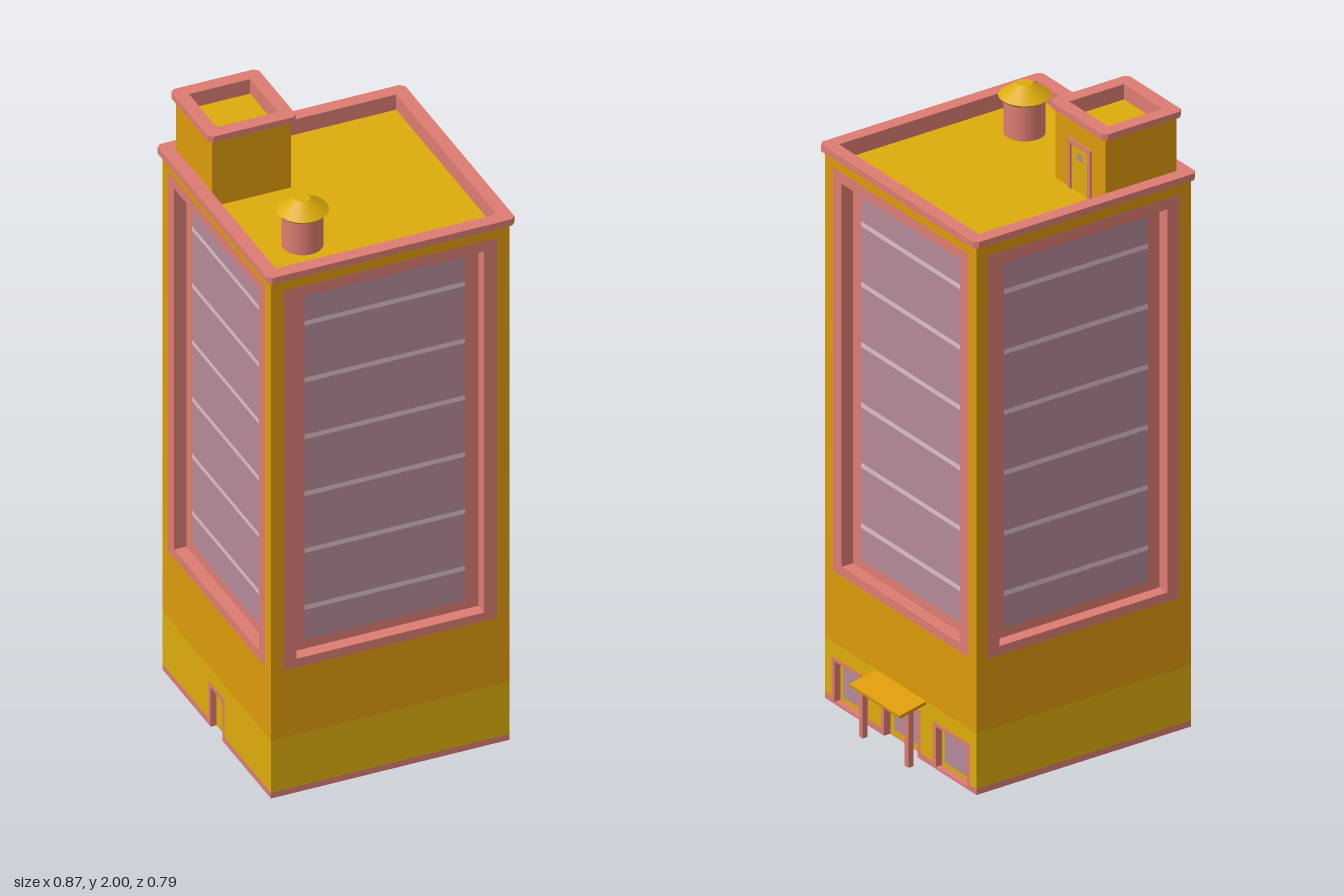
import * as THREE from 'three';

const mat = (color) => new THREE.MeshStandardMaterial({ color, side: THREE.DoubleSide });
const PINK = mat(0xdc7c72), ORANGE = mat(0xdc9a0c), YELLOW = mat(0xdcac0c);
const GLASS = mat(0xb48a98), SLAT = mat(0xdcbec6);

const CX = -0.04, HALF = 0.38, WALL_TOP = 1.78, ROOF = 1.75;

function add(parent, name, geometry, material, x = 0, y = 0, z = 0) {
  const m = new THREE.Mesh(geometry, material);
  m.name = name;
  m.position.set(x, y, z);
  parent.add(m);
  return m;
}

const poly = (pts) => new THREE.Shape(pts.map(([x, y]) => new THREE.Vector2(x, y)));

// Rectangle given by centre, half width, bottom and top, optionally chamfered
function rect(u, h, b, t, c = 0) {
  const l = u - h, r = u + h;
  return poly(c
    ? [[l + c, b], [r - c, b], [r, b + c], [r, t - c], [r - c, t], [l + c, t], [l, t - c], [l, b + c]]
    : [[l, b], [r, b], [r, t], [l, t]]);
}

function withHole(outer, ...holes) {
  holes.forEach((h) => outer.holes.push(new THREE.Path(h.getPoints())));
  return outer;
}

const flat = (shape) => new THREE.ShapeGeometry(shape);
const solid = (shape, depth) => new THREE.ExtrudeGeometry(shape, { depth, bevelEnabled: false });

// Door surround, open at the ground
const portal = (u, ho, to, hi, ti) => poly([
  [u - ho, 0], [u - hi, 0], [u - hi, ti], [u + hi, ti], [u + hi, 0], [u + ho, 0], [u + ho, to], [u - ho, to],
]);

// Square ring lying flat, rising from y
function flatRing(parent, name, material, outer, inner, y, height, chamfer = 0) {
  const shape = withHole(rect(0, outer, -outer, outer, chamfer), rect(0, inner, -inner, inner));
  add(parent, name, solid(shape, height), material, 0, y, 0).rotation.x = -Math.PI / 2;
}

// Wall between openings; each opening is {u, half, top}
function lowerWall(parent, openings) {
  const outline = (bottom, top) => {
    const pts = [[-HALF, bottom]];
    for (const o of openings) {
      const t = Math.min(o.top, top);
      pts.push([o.u - o.half, bottom], [o.u - o.half, t], [o.u + o.half, t], [o.u + o.half, bottom]);
    }
    pts.push([HALF, bottom], [HALF, top], [-HALF, top]);
    return poly(pts);
  };
  add(parent, 'groundFloorWall', flat(outline(0.02, 0.2)), YELLOW);
  if (!openings.length) return add(parent, 'plinth', flat(outline(0, 0.02)), PINK);
  // Plinth pieces on both sides of each opening
  let start = -HALF;
  for (const o of [...openings, { u: HALF, half: 0 }]) {
    const end = o.u - o.half;
    add(parent, 'plinth', flat(rect((start + end) / 2, (end - start) / 2, 0, 0.02)), PINK);
    start = o.u + o.half;
  }
}

// Tall recessed window with horizontal bars
function tallWindow(parent) {
  const depth = 0.04;
  add(parent, 'windowFrame', solid(withHole(rect(0, 0.34, 0.43, 1.74), rect(0, 0.298, 0.46, 1.705)), depth), PINK, 0, 0, -depth);
  add(parent, 'windowInnerFrame', flat(withHole(rect(0, 0.298, 0.46, 1.705), rect(0, 0.255, 0.49, 1.675))), PINK, 0, 0, -depth);
  add(parent, 'windowGlass', flat(rect(0, 0.255, 0.49, 1.675)), GLASS, 0, 0, -depth);
  for (let i = 0; i < 6; i++) {
    const y = 0.602 + i * 0.196;
    add(parent, 'windowBar', flat(rect(0, 0.255, y - 0.008, y + 0.008)), SLAT, 0, 0, -depth + 0.0015);
  }
}

function groundWindow(parent, u) {
  const d = 0.02;
  add(parent, 'groundWindowFrame', solid(withHole(rect(u, 0.093, 0, 0.15), rect(u, 0.077, 0.008, 0.138)), d), PINK, 0, 0, -d);
  add(parent, 'groundWindowSash', flat(withHole(rect(u, 0.077, 0.008, 0.138), rect(u, 0.064, 0.022, 0.125))), YELLOW, 0, 0, -d);
  add(parent, 'groundWindowGlass', flat(rect(u, 0.064, 0.022, 0.125)), GLASS, 0, 0, -d);
}

// Door with its surround; panes are {u, half, bottom, top}
function door(parent, half, top, depth, panes, front = 0) {
  const inner = half - 0.015, head = top - 0.014;
  add(parent, 'doorFrame', solid(portal(0, half, top, inner, head), depth), PINK, 0, 0, front - depth);
  const holes = panes.map((p) => rect(p.u, p.half, p.bottom, p.top));
  add(parent, 'doorLeaf', flat(withHole(rect(0, inner, 0, head), ...holes)), YELLOW, 0, 0, front - depth + 0.001);
  holes.forEach((h) => add(parent, 'doorGlass', flat(h), GLASS, 0, 0, front - depth + 0.001));
}

function facade(building, name, angle, openings) {
  const pivot = new THREE.Group();
  pivot.name = name;
  pivot.rotation.y = angle;
  building.add(pivot);
  const side = new THREE.Group();
  side.position.z = HALF;
  pivot.add(side);
  add(side, 'upperWall', flat(withHole(rect(0, HALF, 0.2, WALL_TOP), rect(0, 0.34, 0.43, 1.74))), ORANGE);
  lowerWall(side, openings);
  tallWindow(side);
  return side;
}

export function createModel() {
  const model = new THREE.Group();
  model.name = 'officeBuilding';
  const building = new THREE.Group();
  building.name = 'tower';
  building.position.x = CX;
  model.add(building);

  // Four facades
  facade(building, 'frontFacade', 0, []);
  facade(building, 'backFacade', Math.PI, []);
  const entry = facade(building, 'entranceFacade', Math.PI / 2, [
    { u: -0.255, half: 0.093, top: 0.15 }, { u: 0, half: 0.1, top: 0.155 }, { u: 0.255, half: 0.093, top: 0.15 },
  ]);
  const rear = facade(building, 'serviceFacade', -Math.PI / 2, [{ u: 0, half: 0.057, top: 0.15 }]);
  [-0.255, 0.255].forEach((u) => groundWindow(entry, u));
  door(entry, 0.1, 0.155, 0.025, [-0.037, 0.037].map((u) => ({ u, half: 0.029, bottom: 0.02, top: 0.127 })));
  door(rear, 0.057, 0.15, 0.02, [{ u: 0, half: 0.016, bottom: 0.095, top: 0.115 }]);

  // Underside, notched at both doors
  const n = 0.02, floor = poly([
    [-HALF, -HALF], [HALF, -HALF], [HALF, -0.085], [HALF - n, -0.085], [HALF - n, 0.085], [HALF, 0.085],
    [HALF, HALF], [-HALF, HALF], [-HALF, 0.042], [n - HALF, 0.042], [n - HALF, -0.042], [-HALF, -0.042],
  ]);
  add(building, 'underside', flat(floor), PINK, 0, 0.001, 0).rotation.x = Math.PI / 2;

  // Roof deck and parapet
  add(building, 'roofDeck', flat(rect(0, 0.36, -0.36, 0.36)), YELLOW, 0, ROOF, 0).rotation.x = -Math.PI / 2;
  flatRing(building, 'parapetLining', PINK, 0.378, 0.351, ROOF - 0.005, 0.035);
  flatRing(building, 'parapetCap', PINK, 0.394, 0.351, WALL_TOP, 0.022, 0.013);

  // Entrance canopy on two posts
  add(model, 'canopy', new THREE.BoxGeometry(0.1, 0.01, 0.252), ORANGE, 0.384, 0.184, 0).rotation.z = -0.2;
  for (const z of [-0.115, 0.115]) {
    add(model, 'canopyPost', new THREE.BoxGeometry(0.018, 0.178, 0.018), PINK, 0.392, 0.089, z);
  }

  // Rooftop stairwell
  const shed = new THREE.Group();
  shed.name = 'stairwell';
  shed.position.set(-0.264, ROOF, -0.225);
  model.add(shed);
  flatRing(shed, 'stairwellWalls', ORANGE, 0.126, 0.112, 0, 0.232);
  flatRing(shed, 'stairwellLining', PINK, 0.113, 0.097, 0.19, 0.042);
  add(shed, 'stairwellRoof', flat(rect(0, 0.1, -0.1, 0.1)), YELLOW, 0, 0.2, 0).rotation.x = -Math.PI / 2;
  flatRing(shed, 'stairwellCap', PINK, 0.14, 0.097, 0.23, 0.02, 0.013);
  const shedDoor = new THREE.Group();
  shedDoor.name = 'stairwellDoor';
  shedDoor.rotation.y = Math.PI / 2;
  shedDoor.position.x = 0.126;
  shed.add(shedDoor);
  door(shedDoor, 0.057, 0.162, 0.006, [{ u: 0, half: 0.015, bottom: 0.103, top: 0.125 }], 0.0065);

  // Water tank with a conical lid
  const tank = new THREE.Group();
  tank.name = 'waterTank';
  tank.position.set(-0.233, ROOF, 0.19);
  model.add(tank);
  add(tank, 'tankBody', new THREE.CylinderGeometry(0.061, 0.061, 0.116, 32), PINK, 0, 0.058, 0);
  add(tank, 'tankRim', new THREE.CylinderGeometry(0.077, 0.07, 0.008, 32), YELLOW, 0, 0.118, 0);
  add(tank, 'tankLid', new THREE.CylinderGeometry(0.023, 0.077, 0.038, 32), YELLOW, 0, 0.141, 0);
  return model;
}
